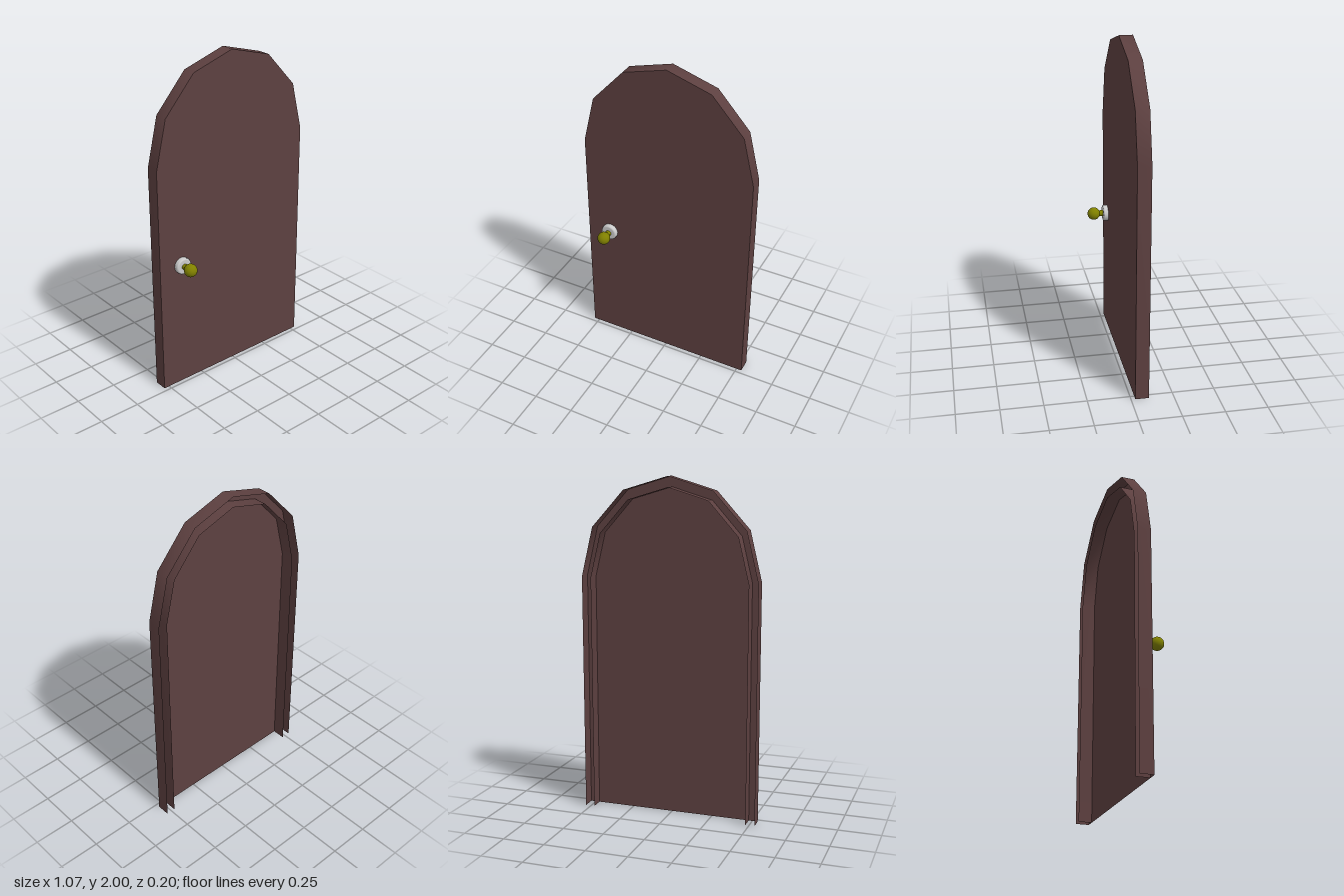
import * as THREE from 'three';

const FRONT = -0.025, BACK = -0.105;

// Right half of the door outline, from the floor up to the apex
const outerHalf = [[0.533, 0], [0.533, 1.415], [0.463, 1.705], [0.268, 1.92], [0, 2]];
const innerHalf = [[0.478, 0], [0.478, 1.41], [0.415, 1.67], [0.24, 1.866], [0, 1.938]];

// Mirror a half outline into a full arch running from right foot to left foot
function arch(half) {
  const left = half.slice(0, -1).reverse().map(([x, y]) => [-x, y]);
  return [...half, ...left];
}

// Thin band following an outline from the front plane to the back plane
function band(outline) {
  const pos = [], index = [];
  outline.forEach(([x, y], i) => {
    pos.push(x, y, FRONT, x, y, BACK);
    if (i > 0) {
      const a = 2 * (i - 1);
      index.push(a, a + 1, a + 2, a + 1, a + 3, a + 2);
    }
  });
  const geo = new THREE.BufferGeometry();
  geo.setAttribute('position', new THREE.Float32BufferAttribute(pos, 3));
  geo.setIndex(index);
  geo.computeVertexNormals();
  return geo;
}

function turned(points, segments = 32) {
  const geo = new THREE.LatheGeometry(points.map(([r, z]) => new THREE.Vector2(r, z)), segments);
  return geo.rotateX(Math.PI / 2);
}

export function createModel() {
  const door = new THREE.Group();
  door.name = 'archedDoor';
  const wood = new THREE.MeshStandardMaterial({ color: 0x5d4040, side: THREE.DoubleSide });
  const brass = new THREE.MeshStandardMaterial({ color: 0x808000 });
  const metal = new THREE.MeshStandardMaterial({ color: 0xcccccc, side: THREE.DoubleSide });

  const add = (parent, name, geo, mat) => {
    const mesh = new THREE.Mesh(geo, mat);
    mesh.name = name;
    parent.add(mesh);
    return mesh;
  };

  // Front panel
  const shape = new THREE.Shape(arch(outerHalf).map(([x, y]) => new THREE.Vector2(x, y)));
  add(door, 'frontPanel', new THREE.ShapeGeometry(shape).translate(0, 0, FRONT), wood);

  // Two concentric rims, open at the back and at the floor
  add(door, 'outerRim', band(arch(outerHalf)), wood);
  add(door, 'innerRim', band(arch(innerHalf)), wood);

  // Door knob: base plate, neck and ball
  const handle = new THREE.Group();
  handle.name = 'doorKnob';
  handle.position.set(-0.382, 0.795, 0);
  door.add(handle);
  add(handle, 'basePlate', turned([
    [0.049, FRONT], [0.05, -0.02], [0.05, -0.003], [0.048, 0.001], [0.043, 0.004], [0.04, 0.004], [0, 0.004],
  ]), metal);
  add(handle, 'neck', turned([[0.018, 0], [0.018, 0.032]]), brass);
  add(handle, 'knobBall', new THREE.SphereGeometry(0.039, 32, 20).translate(0, 0, 0.061), brass);

  return door;
}
